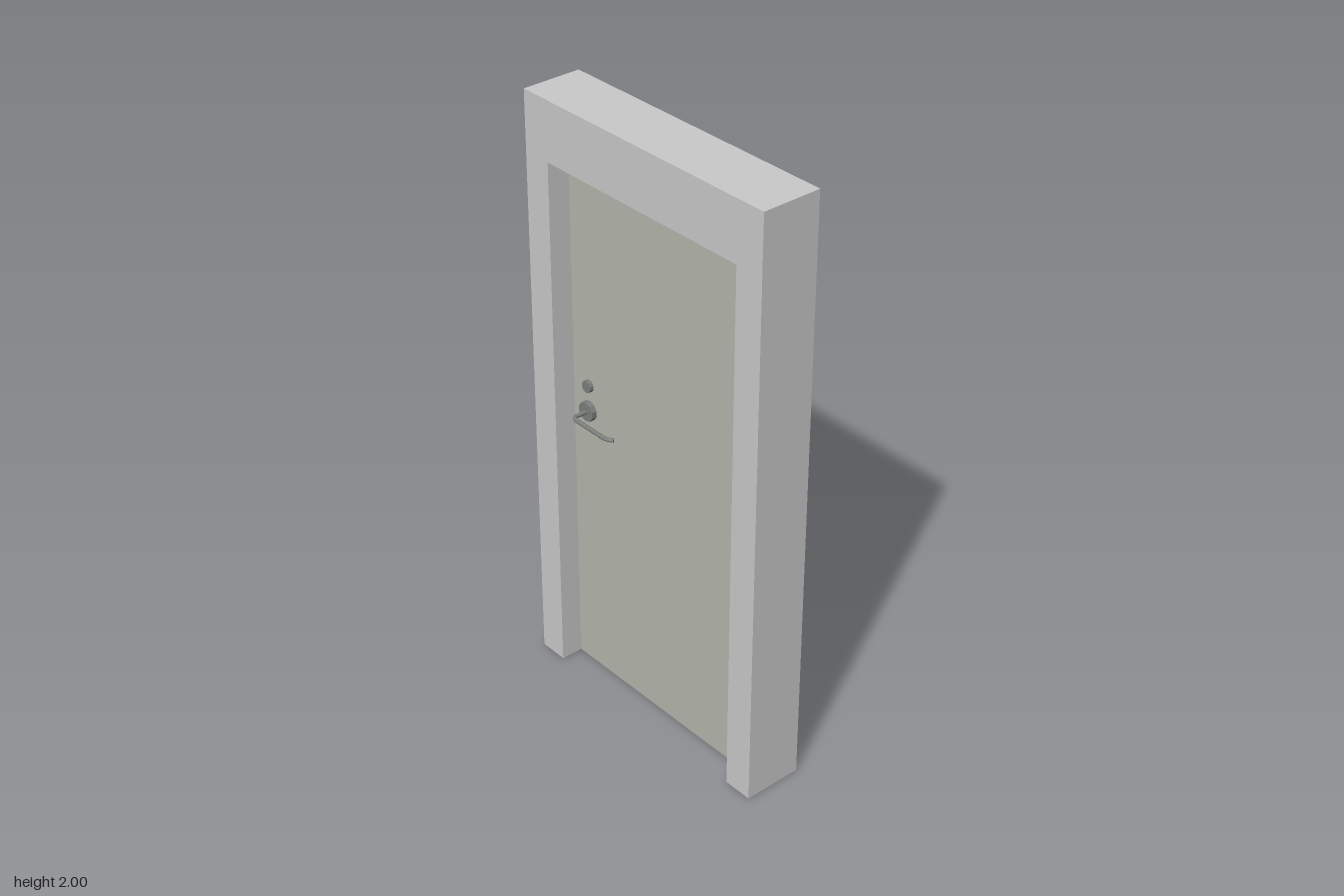
import * as THREE from 'three';

const frameMat = new THREE.MeshStandardMaterial({ name: 'light grey frame', color: 0xc9c9c9 });
const doorMat = new THREE.MeshStandardMaterial({ name: 'grey green door', color: 0xb4b6ad });
const metalMat = new THREE.MeshStandardMaterial({ name: 'dark metal', color: 0x7b7f7c });

const DOOR_FACE = 0.025; // half the door thickness
const HANDLE_X = -0.325;

function part(name, geometry, material, x = 0, y = 0, z = 0) {
  const mesh = new THREE.Mesh(geometry, material);
  mesh.name = name;
  mesh.position.set(x, y, z);
  return mesh;
}

// faceted geometry with hard edges
function faceted(geometry) {
  const g = geometry.index ? geometry.toNonIndexed() : geometry;
  g.computeVertexNormals();
  return g;
}

// short round plate standing on z = 0 and facing +z
function disc(radius, depth) {
  return faceted(new THREE.CylinderGeometry(radius, radius, depth, 10)
    .rotateX(Math.PI / 2).translate(0, 0, depth / 2));
}

// lever path: out of the door, bend, straight grip, tip turned back in
function leverPath() {
  const v = (x, z) => new THREE.Vector3(x, 0, z);
  const path = new THREE.CurvePath();
  path.add(new THREE.LineCurve3(v(0, 0.01), v(0, 0.052)));
  path.add(new THREE.QuadraticBezierCurve3(v(0, 0.052), v(0, 0.069), v(0.02, 0.069)));
  path.add(new THREE.LineCurve3(v(0.02, 0.069), v(0.145, 0.069)));
  path.add(new THREE.QuadraticBezierCurve3(v(0.145, 0.069), v(0.16, 0.069), v(0.178, 0.055)));
  return path;
}

function createHandle() {
  const handle = new THREE.Group();
  const path = leverPath();
  handle.add(part('rose', disc(0.033, 0.018), metalMat));
  handle.add(part('lever', faceted(new THREE.TubeGeometry(path, 28, 0.007, 8)), metalMat));
  const tip = part('leverTip', new THREE.CircleGeometry(0.007, 8), metalMat);
  tip.position.copy(path.getPointAt(1));
  tip.lookAt(tip.position.clone().add(path.getTangentAt(1)));
  handle.add(tip);
  return handle;
}

export function createModel() {
  const model = new THREE.Group();
  model.name = 'door';

  // frame: two jambs and a head in one outline, open at the floor
  const outline = new THREE.Shape([
    [-0.5, 0], [-0.4, 0], [-0.4, 1.805], [0.4, 1.805],
    [0.4, 0], [0.5, 0], [0.5, 2], [-0.5, 2],
  ].map(([x, y]) => new THREE.Vector2(x, y)));
  const frame = new THREE.ExtrudeGeometry(outline, { depth: 0.2, bevelEnabled: false });
  model.add(part('frame', frame, frameMat, 0, 0, -0.099));

  // door leaf
  model.add(part('doorLeaf', new THREE.BoxGeometry(0.8, 1.805, DOOR_FACE * 2), doorMat, 0, 0.9025, 0));

  // handle and lock on both faces; the back ones are turned about x
  for (const side of [1, -1]) {
    const label = side > 0 ? 'front' : 'back';
    const handle = createHandle();
    handle.name = label + 'Handle';
    handle.position.set(HANDLE_X, 0.972, side * DOOR_FACE);
    const lock = part(label + 'Lock', disc(0.02, 0.015), metalMat, HANDLE_X, 1.06, side * DOOR_FACE);
    if (side < 0) handle.rotation.x = lock.rotation.x = Math.PI;
    model.add(handle, lock);
  }

  // hinge knuckles on the front
  const knuckle = faceted(new THREE.CylinderGeometry(0.008, 0.008, 0.1, 8));
  for (const y of [0.508, 1.205, 1.508]) {
    model.add(part('hinge', knuckle, metalMat, 0.392, y, DOOR_FACE + 0.004));
  }
  return model;
}
